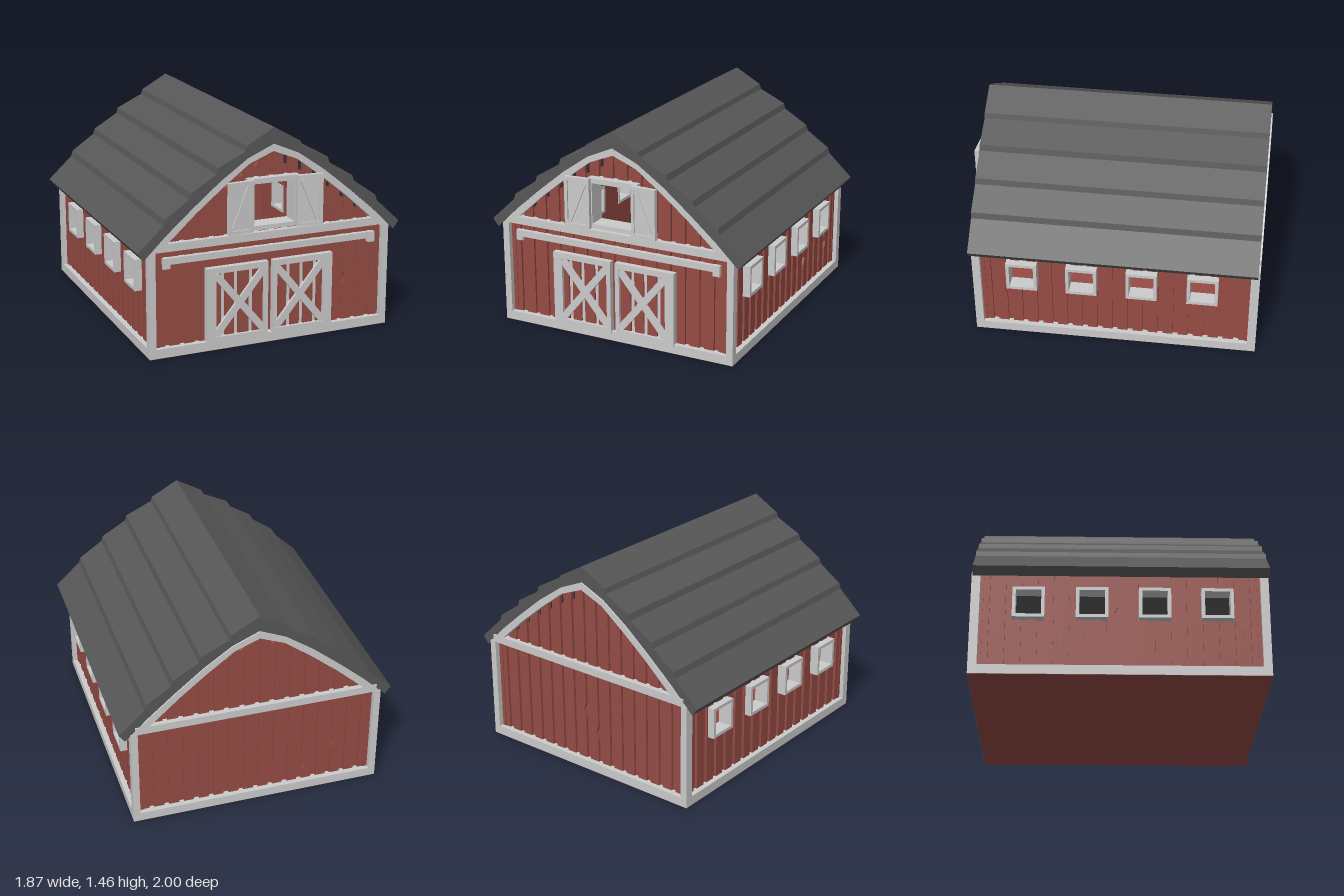
import * as THREE from 'three';
import { mergeGeometries } from 'three/addons/utils/BufferGeometryUtils.js';

const trimMat = new THREE.MeshStandardMaterial({ color: 0xcccccc });
const redMat = new THREE.MeshStandardMaterial({ color: 0x964c44 });
const roofMat = new THREE.MeshStandardMaterial({ color: 0x575757 });

// Right halves of the arch lines, from ridge to eave
const ARCH = [[0, 1.353], [0.18, 1.275], [0.37, 1.143], [0.56, 0.987], [0.74, 0.83], [0.862, 0.711]];
const INNER = [[0, 1.303], [0.17, 1.235], [0.35, 1.10], [0.54, 0.945], [0.735, 0.768]];
const BACKING = [[0, 1.29], [0.104, 1.2], [0.21, 1.145], [0.42, 1.01], [0.56, 0.9], [0.735, 0.76], [0.862, 0.7]];
const PITCH = 0.104, GROOVE = 0.017;

let seed = 7;
const rand = () => (seed = (seed * 16807) % 2147483647) / 2147483647;

// Full left-to-right line from a right half that starts at x = 0
const mirrorLine = (half) => [...half.slice(1).reverse().map(([x, y]) => [-x, y]), ...half];

// Height of a mirrored line at u
const heightOn = (half) => (u) => {
  const x = Math.abs(u);
  for (let i = 1; i < half.length; i++) {
    const [x0, y0] = half[i - 1], [x1, y1] = half[i];
    if (x <= x1 + 1e-6) return y0 + ((y1 - y0) * (x - x0)) / (x1 - x0);
  }
  return half[half.length - 1][1];
};

function extrude(points, z0, z1, hole) {
  const shape = new THREE.Shape(points.map(([x, y]) => new THREE.Vector2(x, y)));
  if (hole) shape.holes.push(new THREE.Path(hole.map(([x, y]) => new THREE.Vector2(x, y))));
  return new THREE.ExtrudeGeometry(shape, { depth: z1 - z0, bevelEnabled: false }).translate(0, 0, z0);
}

const rect = (x0, x1, y0, y1) => [[x0, y0], [x1, y0], [x1, y1], [x0, y1]];

function add(parent, name, geometry, material = trimMat) {
  const mesh = new THREE.Mesh(geometry, material);
  mesh.name = name;
  parent.add(mesh);
  return mesh;
}

const addBox = (parent, name, x0, x1, y0, y1, z0, z1, material) =>
  add(parent, name, new THREE.BoxGeometry(x1 - x0, y1 - y0, z1 - z0)
    .translate((x0 + x1) / 2, (y0 + y1) / 2, (z0 + z1) / 2), material);

// Straight batten between two points
function addBar(parent, name, x0, y0, x1, y1, width, z0, z1) {
  const g = new THREE.BoxGeometry(Math.hypot(x1 - x0, y1 - y0), width, z1 - z0)
    .rotateZ(Math.atan2(y1 - y0, x1 - x0))
    .translate((x0 + x1) / 2, (y0 + y1) / 2, (z0 + z1) / 2);
  return add(parent, name, g);
}

// Upright pieces filling u0..u1 below a top line, leaving the openings free
function slab(u0, u1, v0, top, breaks, openings, z0, z1, nicks) {
  const inside = [...breaks, ...openings.flatMap((o) => [o[0], o[1]])].filter((u) => u > u0 + 1e-4 && u < u1 - 1e-4);
  const cuts = [...new Set([u0, u1, ...inside])].sort((a, b) => a - b);
  const out = [];
  for (let i = 1; i < cuts.length; i++) {
    const a = cuts[i - 1], b = cuts[i], mid = (a + b) / 2;
    const hole = openings.find((o) => mid > o[0] && mid < o[1]);
    const bottom = hole ? hole[3] : v0;
    if (hole) out.push(extrude(rect(a, b, v0, hole[2]), z0, z1));
    if (Math.min(top(a), top(b)) <= bottom) continue;
    const pts = [[a, bottom], [b, bottom], [b, top(b)], [a, top(a)]];
    if (nicks && !hole && cuts.length === 2 && rand() < 0.4) {
      // Splintered board edge
      const y = 0.12 + rand() * 0.4, d = 0.012 + rand() * 0.012;
      if (rand() < 0.5) pts.push([a, y + 0.07], [a + d, y + 0.03], [a + d * 0.6, y + 0.01], [a, y - 0.02]);
      else pts.splice(2, 0, [b, y - 0.02], [b - d * 0.6, y + 0.01], [b - d, y + 0.03], [b, y + 0.07]);
    }
    out.push(extrude(pts, z0, z1));
  }
  return out;
}

// Boarded wall in its own plane: outer trim face at z = 0, outside towards +z
function makeWall(name, half, boardTop, backTop, breaks, openings) {
  const wall = new THREE.Group();
  wall.name = name;
  const inner = half - 0.03;
  add(wall, 'wallBacking', mergeGeometries(slab(-inner, inner, 0.02, backTop, breaks, openings, -0.08, -0.052)), redMat);
  const boards = [];
  for (let k = -10; k < 10; k++) {
    const a = Math.max(k * PITCH + GROOVE, -inner), b = Math.min((k + 1) * PITCH - GROOVE, inner);
    if (b - a > 0.01) boards.push(...slab(a, b, 0.02, boardTop, [], openings, -0.06, -0.035, true));
  }
  add(wall, 'boards', mergeGeometries(boards), redMat);
  addBox(wall, 'baseTrim', -half, half, 0.002, 0.065, -0.06, 0);
  return wall;
}

function makeGable(name, openings) {
  const arch = heightOn(ARCH);
  const wall = makeWall(name, 0.862, (u) => arch(u) - 0.015, heightOn(BACKING),
    mirrorLine(BACKING).map((p) => p[0]), openings);
  addBox(wall, 'crossBeam', -0.83, 0.83, 0.717, 0.77, -0.05, 0);
  add(wall, 'archTrim', extrude([...mirrorLine(ARCH), ...mirrorLine(INNER).reverse()], -0.05, 0));
  return wall;
}

function makeSide(name, sign) {
  const centres = [0.602, 0.195, -0.213, -0.625].map((z) => -sign * (z + 0.03));
  const top = () => 0.725;
  const wall = makeWall(name, 0.97, top, top, [], centres.map((u) => [u - 0.095, u + 0.095, 0.405, 0.6]));
  for (const u of centres) {
    add(wall, 'windowFrame', extrude(rect(u - 0.105, u + 0.105, 0.396, 0.611), -0.085, 0.013,
      rect(u - 0.083, u + 0.083, 0.418, 0.589)));
  }
  wall.rotation.y = (sign * Math.PI) / 2;
  wall.position.set(sign * 0.862, 0, -0.03);
  return wall;
}

// Barn door: x0..x1 outer, ix0..ix1 inside its frame
function makeDoor(x0, x1, ix0, ix1, gaps) {
  const door = new THREE.Group();
  door.name = 'barnDoor';
  addBox(door, 'doorBacking', x0 + 0.01, x1 - 0.01, 0.06, 0.56, -0.04, -0.028);
  const edges = [ix0 - 0.01, ...gaps.flatMap((g) => [g - 0.014, g + 0.014]), ix1 + 0.01];
  for (let i = 0; i < edges.length; i += 2) {
    addBox(door, 'doorBoard', edges[i], edges[i + 1], 0.07, 0.54, -0.03, -0.016, redMat);
  }
  add(door, 'doorFrame', extrude(rect(x0, x1, 0.05, 0.567), -0.035, 0.005, rect(ix0, ix1, 0.09, 0.527)));
  addBar(door, 'doorBrace', ix0, 0.1, ix1, 0.517, 0.048, -0.025, 0.002);
  addBar(door, 'doorBrace', ix0, 0.517, ix1, 0.1, 0.048, -0.025, 0.001);
  return door;
}

// Open loft shutter, sign gives its side
function makeShutter(sign) {
  const shutter = new THREE.Group();
  shutter.name = 'loftShutter';
  add(shutter, 'shutterFrame', extrude(rect(-0.09, 0.09, -0.172, 0.172), -0.015, 0.015, rect(-0.068, 0.068, -0.148, 0.148)));
  addBox(shutter, 'shutterPanel', -0.075, 0.075, -0.155, 0.155, -0.012, 0.004);
  addBar(shutter, 'shutterBrace', -sign * 0.058, 0.14, sign * 0.058, -0.14, 0.024, -0.005, 0.014);
  shutter.position.set(sign * 0.245, 0.963, 0.038);
  shutter.rotation.y = -sign * 0.07;
  return shutter;
}

export function createModel() {
  const barn = new THREE.Group();
  barn.name = 'barn';

  // Floor and corner posts
  addBox(barn, 'floor', -0.861, 0.861, 0, 0.025, -0.999, 0.939, redMat);
  for (const s of [-1, 1]) {
    const [x0, x1] = s < 0 ? [-0.862, -0.815] : [0.815, 0.862];
    addBox(barn, 'cornerPost', x0, x1, 0.002, 0.72, 0.885, 0.94);
    addBox(barn, 'cornerPost', x0, x1, 0.002, 0.72, -1, -0.942);
    barn.add(makeSide(s > 0 ? 'leftWall' : 'rightWall', s));
  }

  // Gable ends
  const front = makeGable('frontWall', [[-0.165, 0.165, 0.805, 1.12]]);
  front.position.z = 0.94;
  const back = makeGable('backWall', []);
  back.rotation.y = Math.PI;
  back.position.z = -1;
  barn.add(front, back);

  // Loft opening and shutters
  add(front, 'loftFrame', extrude(rect(-0.18, 0.18, 0.79, 1.135), -0.11, 0.015, rect(-0.15, 0.15, 0.82, 1.1)));
  front.add(makeShutter(-1), makeShutter(1));

  // Sliding doors and their rail
  front.add(makeDoor(-0.466, -0.03, -0.4, -0.06, [-0.345, -0.253, -0.147]));
  front.add(makeDoor(0.005, 0.44, 0.035, 0.375, [0.126, 0.222, 0.32]));
  add(front, 'doorRail', extrude([[-0.76, 0.6], [-0.712, 0.6], [-0.712, 0.628], [0.712, 0.628],
    [0.712, 0.6], [0.76, 0.6], [0.76, 0.672], [-0.76, 0.672]], -0.04, -0.005));

  // Roof of overlapping stepped panels
  const outer = [[0, 1.462], [0.188, 1.355], [0.2, 1.32], [0.388, 1.23], [0.4, 1.19], [0.573, 1.085],
    [0.586, 1.046], [0.75, 0.932], [0.763, 0.892], [0.937, 0.73]];
  const under = [...ARCH.slice(0, -1), [0.897, 0.677]];
  add(barn, 'roof', extrude([...mirrorLine(outer), ...mirrorLine(under).reverse()], -0.99, 0.945), roofMat);

  return barn;
}
